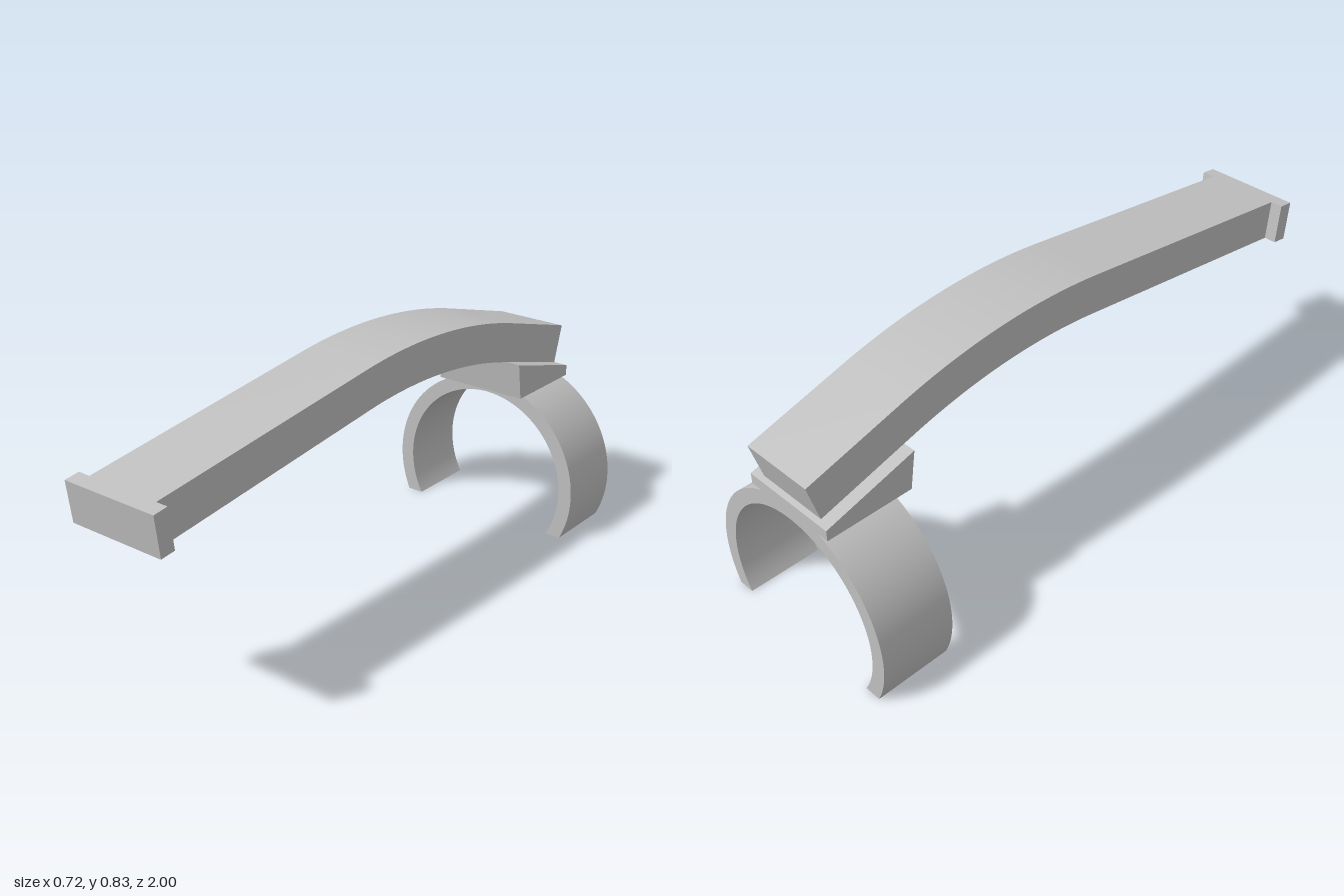
import * as THREE from 'three';
import { toCreasedNormals } from 'three/addons/utils/BufferGeometryUtils.js';

const grey = new THREE.MeshStandardMaterial({ color: 0xc0c0c0 });
grey.name = 'grey';

function extrude(shape, depth, curveSegments) {
  const g = new THREE.ExtrudeGeometry(shape, { depth, bevelEnabled: false, curveSegments });
  return g.translate(0, 0, -depth / 2);
}

function part(name, geometry) {
  const mesh = new THREE.Mesh(toCreasedNormals(geometry, 0.4), grey);
  mesh.name = name;
  return mesh;
}

// Side profile drawn in (z, y), extruded across x
function sidePart(name, shape, width) {
  return part(name, extrude(shape, width, 32).rotateY(-Math.PI / 2));
}

export function createModel() {
  const group = new THREE.Group();
  group.name = 'clipWithArm';

  // Arm: an arc with a straight tangent run at each end
  const cz = -0.14, cy = -1.1, rIn = 1.8, rOut = 1.932;
  const front = THREE.MathUtils.degToRad(7), back = THREE.MathUtils.degToRad(16);
  const frontRun = 0.912, backRun = 0.341;
  // Point on the bend at an angle from vertical, then moved along the tangent
  const at = (r, a, run) => [
    cz + r * Math.sin(a) + run * Math.cos(a),
    cy + r * Math.cos(a) - run * Math.sin(a),
  ];
  const arm = new THREE.Shape();
  arm.moveTo(...at(rIn, front, frontRun));
  arm.lineTo(...at(rOut, front, frontRun));
  arm.absarc(cz, cy, rOut, Math.PI / 2 - front, Math.PI / 2 + back, false);
  arm.lineTo(...at(rOut, -back, -backRun));
  arm.lineTo(...at(rIn, -back, -backRun));
  arm.absarc(cz, cy, rIn, Math.PI / 2 + back, Math.PI / 2 - front, true);
  group.add(sidePart('arm', arm, 0.25));

  // Wider plate across the front tip of the arm
  const plate = new THREE.Shape([
    [rIn, frontRun], [rOut, frontRun], [rOut, frontRun - 0.05], [rIn, frontRun - 0.05],
  ].map(([r, run]) => new THREE.Vector2(...at(r, front, run))));
  group.add(sidePart('endPlate', plate, 0.332));

  // Wedge between arm and clip
  const wedge = new THREE.Shape([
    [-0.686, 0.494], [-0.667, 0.62], [-0.98, 0.53], [-0.98, 0.494],
  ].map(([z, y]) => new THREE.Vector2(z, y)));
  group.add(sidePart('wedge', wedge, 0.332));

  // Open ring clip, cut flat at the ground
  const ringY = 0.156, ro = 0.36, ri = 0.311;
  const ao = Math.asin(ringY / ro), ai = Math.asin(ringY / ri);
  const ring = new THREE.Shape();
  ring.absarc(0, ringY, ro, -ao, Math.PI + ao, false);
  ring.absarc(0, ringY, ri, Math.PI + ai, -ai, true);
  const clip = part('ringClip', extrude(ring, 0.25, 64));
  clip.position.z = -0.855;
  group.add(clip);

  return group;
}
